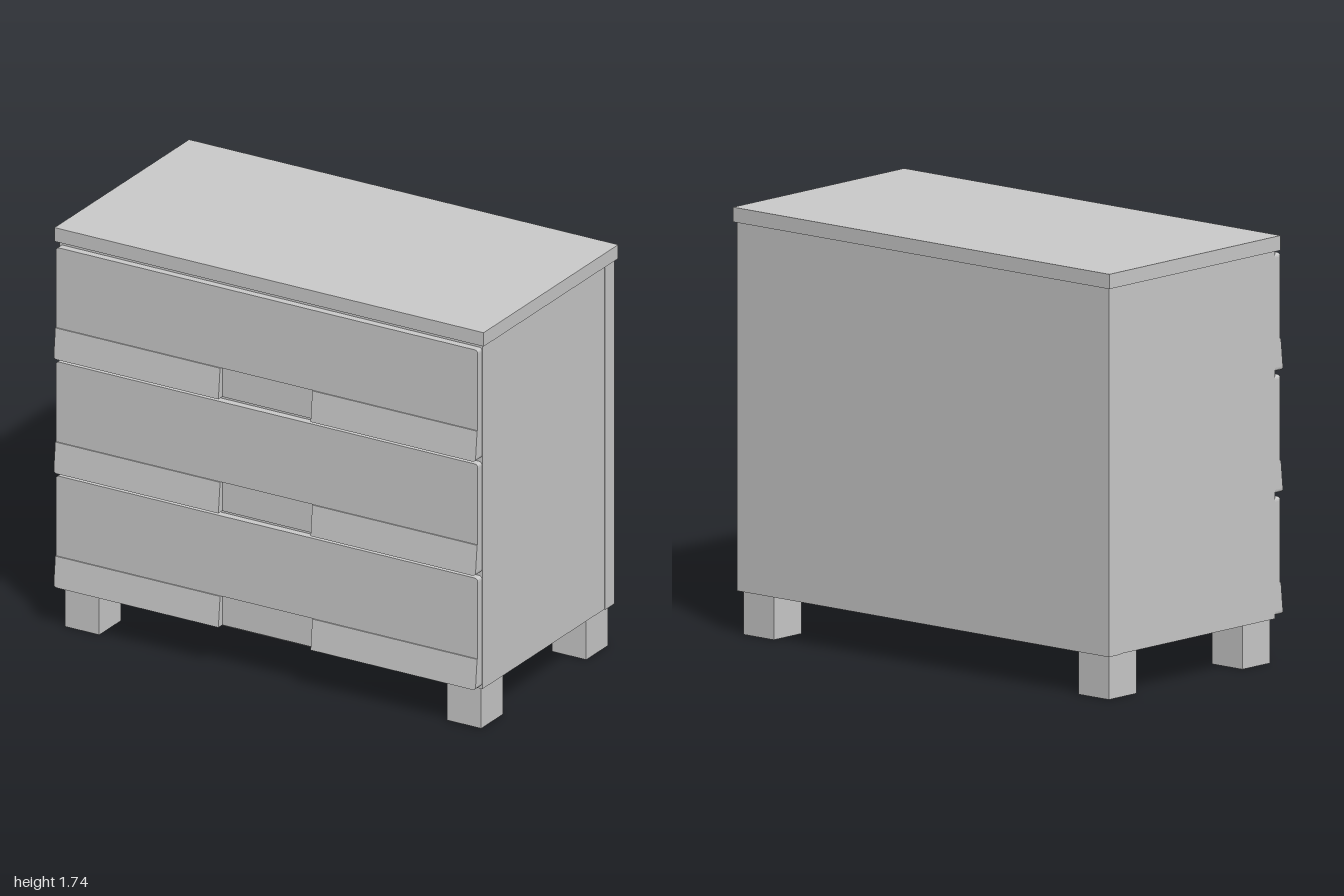
import * as THREE from 'three';

const material = new THREE.MeshStandardMaterial({ color: 0xcccccc, flatShading: true });

function addMesh(parent, name, geometry) {
  const mesh = new THREE.Mesh(geometry, material);
  mesh.name = name;
  parent.add(mesh);
  return mesh;
}

// Box given by its limits on each axis
function addBox(parent, name, [x0, x1], [y0, y1], [z0, z1]) {
  const mesh = addMesh(parent, name, new THREE.BoxGeometry(x1 - x0, y1 - y0, z1 - z0));
  mesh.position.set((x0 + x1) / 2, (y0 + y1) / 2, (z0 + z1) / 2);
}

const W = 0.983;       // half width of a drawer front
const H = 0.478;       // drawer front height
const R = 0.015;       // corner radius
const GRIP = 0.215;    // half width of the finger notch
const LIP = 0.13;      // height of the lip and notch

// Outline of a drawer front, with or without the finger notch at the bottom
function frontShape(notched) {
  const s = new THREE.Shape();
  s.moveTo(-W + R, 0);
  if (notched) {
    s.lineTo(-GRIP, 0);
    s.lineTo(-GRIP, LIP);
    s.lineTo(GRIP, LIP);
    s.lineTo(GRIP, 0);
  }
  s.lineTo(W - R, 0);
  s.quadraticCurveTo(W, 0, W, R);
  s.lineTo(W, H - R);
  s.quadraticCurveTo(W, H, W - R, H);
  s.lineTo(-W + R, H);
  s.quadraticCurveTo(-W, H, -W, H - R);
  s.lineTo(-W, R);
  s.quadraticCurveTo(-W, 0, -W + R, 0);
  return s;
}

function extrude(shape, z0, z1) {
  const g = new THREE.ExtrudeGeometry(shape, { depth: z1 - z0, bevelEnabled: false, curveSegments: 4 });
  return g.translate(0, 0, z0);
}

// Lip beside the notch, its face leaning outward towards the bottom
function lipGeometry(side) {
  const s = new THREE.Shape();
  s.moveTo(side * GRIP, 0);
  s.lineTo(side * (W - R), 0);
  s.quadraticCurveTo(side * W, 0, side * W, R);
  s.lineTo(side * W, LIP);
  s.lineTo(side * GRIP, LIP);
  s.closePath();
  const g = extrude(s, 0.512, 0.53);
  const p = g.attributes.position;
  for (let i = 0; i < p.count; i++) {
    if (p.getZ(i) > 0.52) p.setZ(i, 0.53 - 0.013 * p.getY(i) / LIP);
  }
  g.computeVertexNormals();
  return g;
}

function createDrawer() {
  const drawer = new THREE.Group();
  addMesh(drawer, 'drawerBacking', extrude(frontShape(false), 0.48, 0.5));
  addMesh(drawer, 'drawerFace', extrude(frontShape(true), 0.5, 0.512));
  addMesh(drawer, 'leftLip', lipGeometry(1));
  addMesh(drawer, 'rightLip', lipGeometry(-1));
  return drawer;
}

export function createModel() {
  const chest = new THREE.Group();
  chest.name = 'chestOfDrawers';

  // Carcass, back panel and overhanging top
  addBox(chest, 'carcass', [-0.985, 0.985], [0.18, 1.675], [-0.45, 0.48]);
  addBox(chest, 'backPanel', [-0.988, 0.988], [0.178, 1.675], [-0.52, -0.45]);
  addBox(chest, 'top', [-1, 1], [1.675, 1.735], [-0.53, 0.495]);

  // Three drawers stacked upward
  for (let i = 0; i < 3; i++) {
    const drawer = createDrawer();
    drawer.name = 'drawer' + (i + 1);
    drawer.position.y = 0.192 + i * 0.495;
    chest.add(drawer);
  }

  // Four block legs
  for (const [side, x] of [['left', [0.81, 0.97]], ['right', [-0.97, -0.81]]]) {
    addBox(chest, side + 'FrontLeg', x, [0, 0.18], [0.3, 0.465]);
    addBox(chest, side + 'BackLeg', x, [0, 0.18], [-0.5, -0.335]);
  }
  return chest;
}
